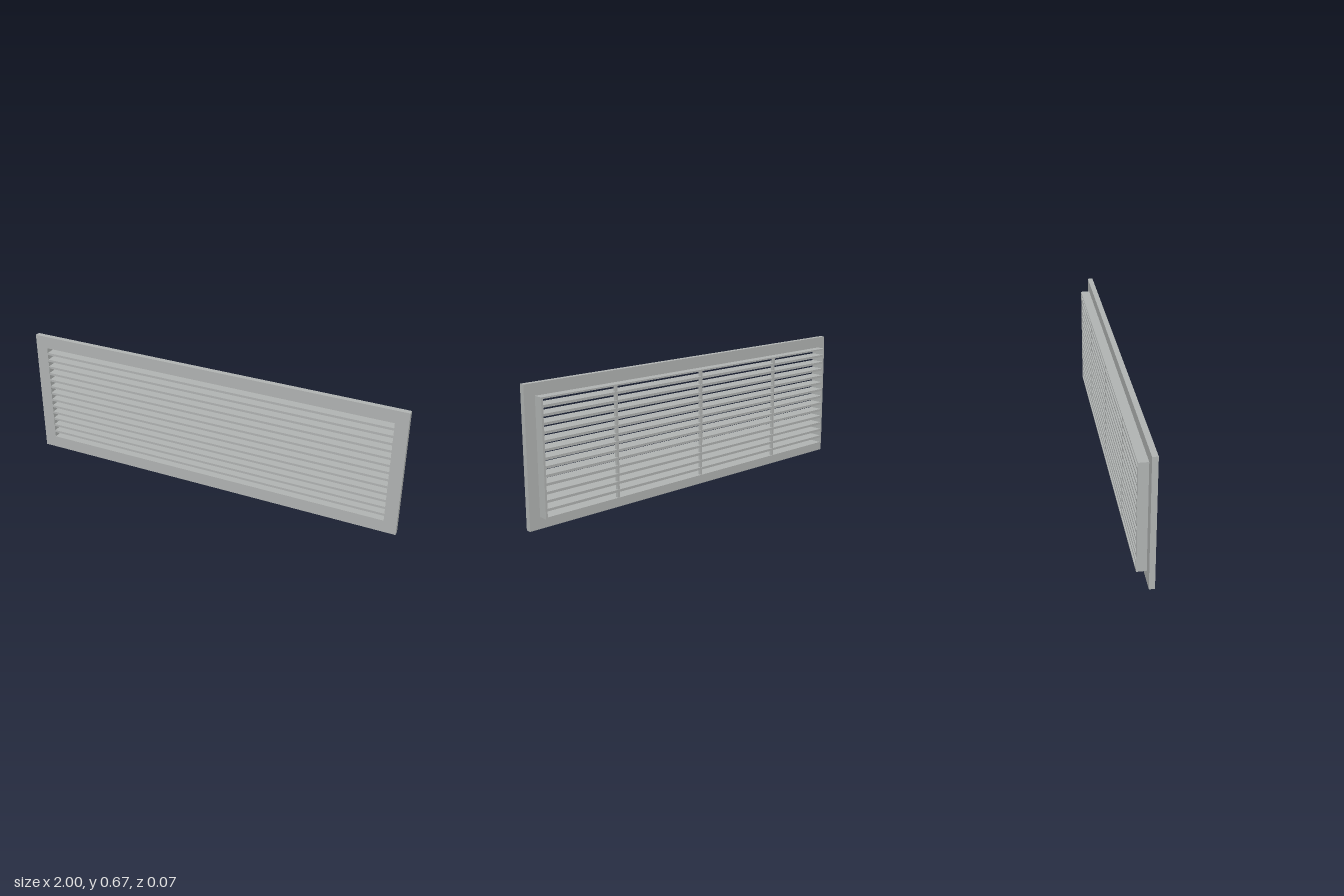
import * as THREE from 'three';

// Rectangular ring extruded from z0 to z1; bounds are [left, bottom, right, top]
function ringGeometry(outer, inner, z0, z1) {
  const corners = ([l, b, r, t]) => [[l, b], [r, b], [r, t], [l, t]].map(([x, y]) => new THREE.Vector2(x, y));
  const shape = new THREE.Shape(corners(outer));
  shape.holes.push(new THREE.Path(corners(inner)));
  const geometry = new THREE.ExtrudeGeometry(shape, { depth: z1 - z0, bevelEnabled: false });
  return geometry.translate(0, 0, z0);
}

export function createModel() {
  const metal = new THREE.MeshStandardMaterial({ color: 0xb0b3b2 });
  metal.name = 'grey metal';
  const group = new THREE.Group();
  group.name = 'ventGrille';

  const add = (name, geometry, x = 0, y = 0, z = 0) => {
    const mesh = new THREE.Mesh(geometry, metal);
    mesh.name = name;
    mesh.position.set(x, y, z);
    group.add(mesh);
  };

  const height = 0.667, front = 0.037, back = -0.037, flangeBack = 0.01;
  const bottom = 0.065, top = 0.602, halfWidth = 0.935;
  const opening = [-halfWidth, bottom, halfWidth, top];

  // Wide front flange and the narrower collar behind it
  add('frontFlange', ringGeometry([-1, 0, 1, height], opening, flangeBack, front));
  add('rearCollar', ringGeometry([-0.945, 0.057, 0.945, 0.61], opening, back, flangeBack));

  // Thirteen horizontal slats dividing the opening into equal gaps
  const slats = 13, thickness = 0.012;
  const gap = (top - bottom - slats * thickness) / (slats + 1);
  const slatGeometry = new THREE.BoxGeometry(halfWidth * 2, thickness, front - back - 0.002);
  for (let i = 0; i < slats; i++) {
    add('slat', slatGeometry, 0, bottom + gap + thickness / 2 + i * (gap + thickness), 0);
  }

  // Upright ribs joining the slats near the back
  const ribGeometry = new THREE.BoxGeometry(0.012, top - bottom, 0.015);
  for (const x of [-0.533, 0, 0.533]) add('rib', ribGeometry, x, (top + bottom) / 2, -0.0255);

  return group;
}
